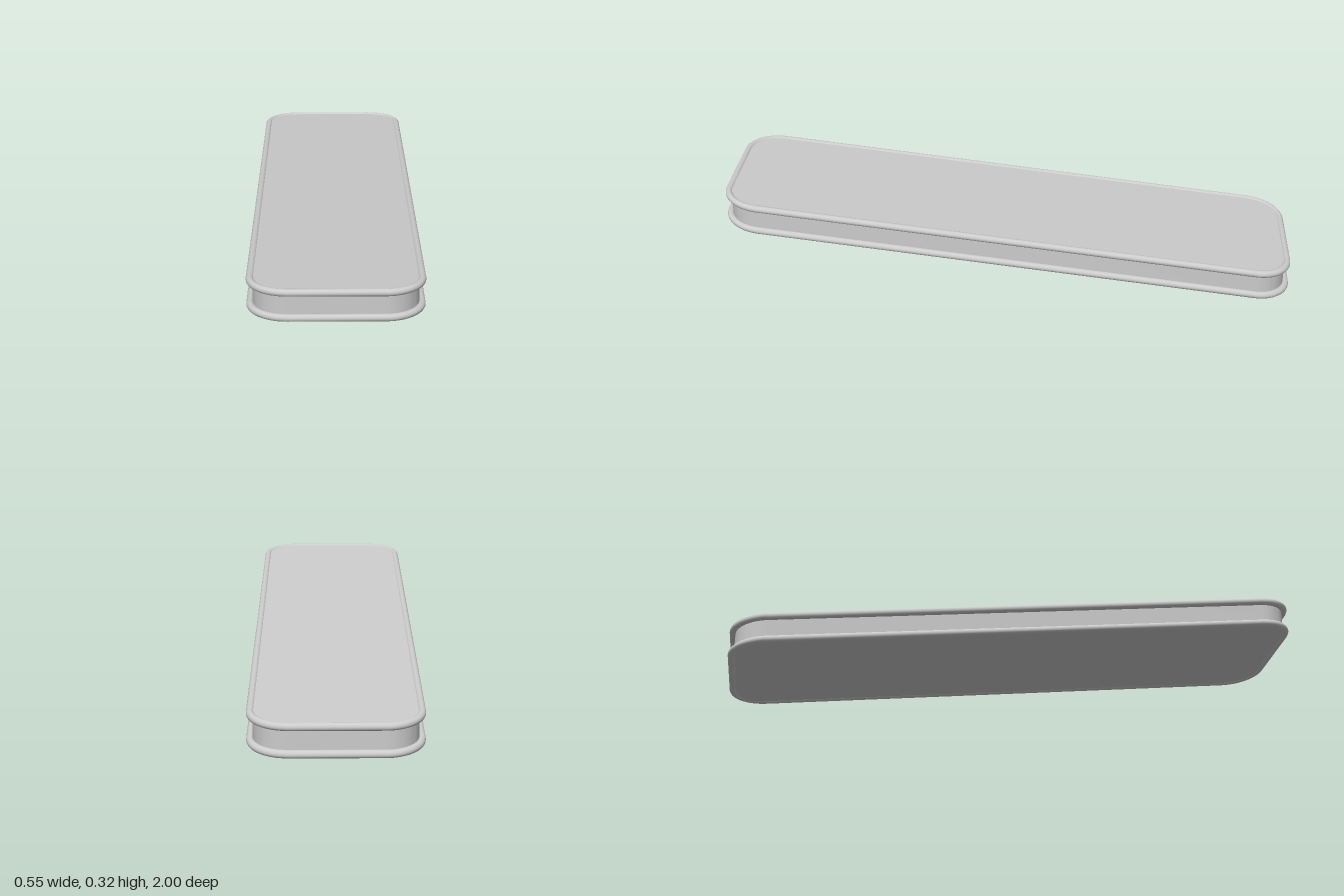
import * as THREE from 'three';
import { toCreasedNormals } from 'three/addons/utils/BufferGeometryUtils.js';

const HALF_W = 0.277, HALF_L = 1, CORNER = 0.13; // outer outline
const BEAD = 0.0125;   // bead radius
const THICK = 0.111;   // overall thickness
const SLOPE = 0.108;   // rise from back to front
const MID_Y = 0.162;
const STEPS = 16;      // segments per corner

// Rounded-rectangle outline, inset from the outer edge, as [x, z] points
function outline(inset) {
  const points = [];
  const centres = [[1, 1], [-1, 1], [-1, -1], [1, -1]];
  centres.forEach(([sx, sz], q) => {
    for (let i = 0; i <= STEPS; i++) {
      const a = (q + i / STEPS) * Math.PI / 2;
      points.push([
        sx * (HALF_W - CORNER) + (CORNER - inset) * Math.cos(a),
        sz * (HALF_L - CORNER) + (CORNER - inset) * Math.sin(a),
      ]);
    }
  });
  return points;
}

// Lean the level slab so the front is higher than the back
function lean(geometry) {
  const p = geometry.attributes.position;
  for (let i = 0; i < p.count; i++) p.setY(i, p.getY(i) + MID_Y + SLOPE * p.getZ(i));
  return geometry;
}

// Round bead running around the outline at height y
function beadGeometry(y) {
  const sides = 20, positions = [], index = [];
  const count = outline(0).length;
  for (let s = 0; s < sides; s++) {
    const a = s / sides * Math.PI * 2;
    for (const [x, z] of outline(BEAD - BEAD * Math.cos(a))) {
      positions.push(x, y + BEAD * Math.sin(a), z);
    }
  }
  for (let s = 0; s < sides; s++) {
    const t = (s + 1) % sides;
    for (let i = 0; i < count; i++) {
      const j = (i + 1) % count;
      const a = s * count + i, b = s * count + j, c = t * count + j, d = t * count + i;
      index.push(a, d, b, b, d, c);
    }
  }
  const g = new THREE.BufferGeometry();
  g.setAttribute('position', new THREE.Float32BufferAttribute(positions, 3));
  g.setIndex(index);
  lean(g).computeVertexNormals();
  return g;
}

// Flat panel whose faces sit just below the crests of the beads
function panelGeometry() {
  const height = THICK - 0.01;
  const shape = new THREE.Shape(outline(0.02).map(([x, z]) => new THREE.Vector2(x, z)));
  const g = new THREE.ExtrudeGeometry(shape, { depth: height, bevelEnabled: false });
  g.rotateX(Math.PI / 2).translate(0, height / 2, 0);
  return toCreasedNormals(lean(g), 0.5);
}

export function createModel() {
  const group = new THREE.Group();
  group.name = 'cushionSlab';
  const material = new THREE.MeshStandardMaterial({ color: 0xcccccc });
  const add = (name, geometry) => {
    const mesh = new THREE.Mesh(geometry, material);
    mesh.name = name;
    group.add(mesh);
  };
  add('panel', panelGeometry());
  add('topBead', beadGeometry(THICK / 2 - BEAD));
  add('bottomBead', beadGeometry(BEAD - THICK / 2));
  return group;
}
